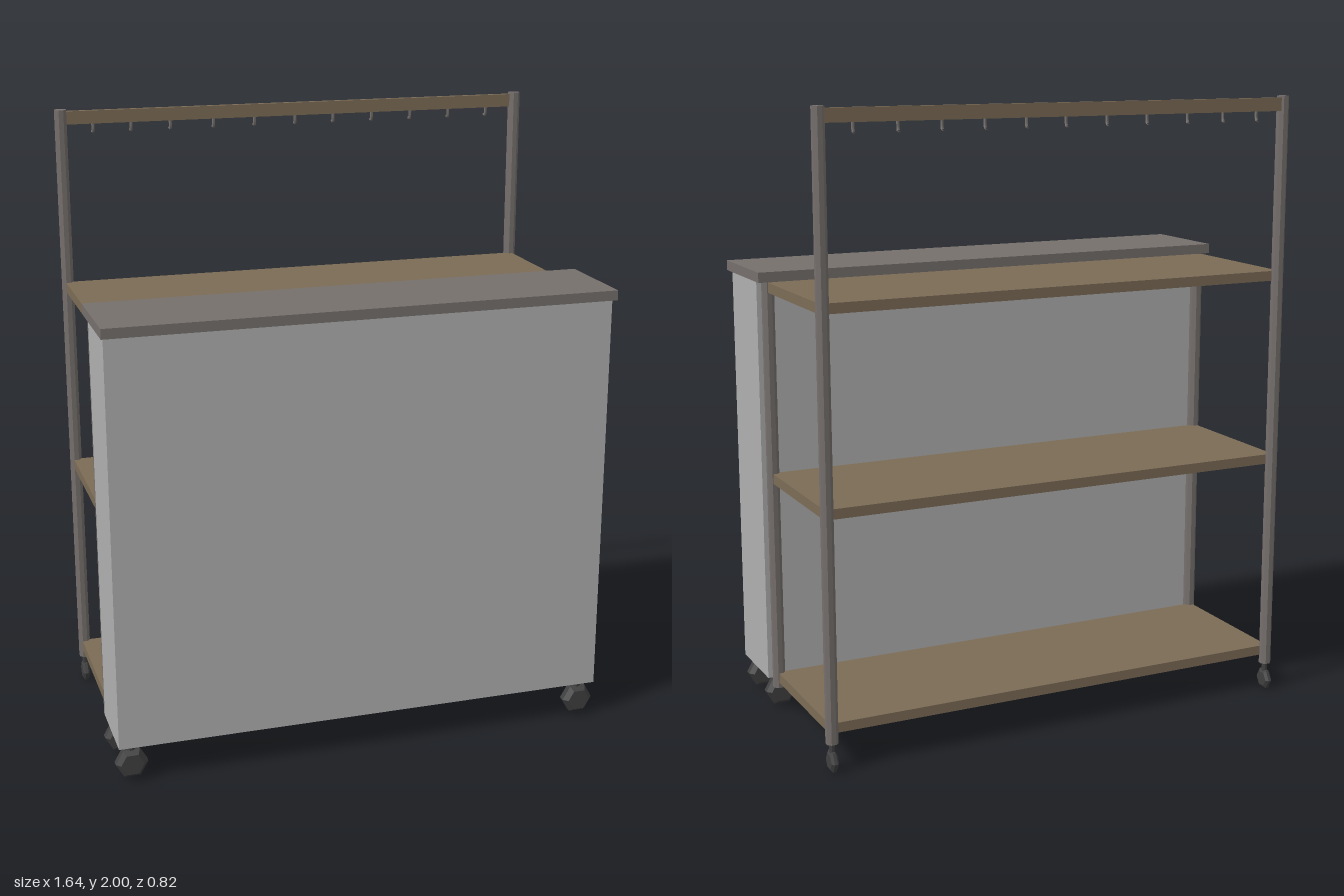
import * as THREE from 'three';

const mat = (name, color, flat = true) => {
  const m = new THREE.MeshStandardMaterial({ color });
  m.name = name;
  m.flatShading = flat;
  return m;
};

export function createModel() {
  const root = new THREE.Group();
  const panel = mat('light grey panel', 0xb0b0b0);
  const metal = mat('warm grey metal', 0x76706d);
  const wood = mat('brown wood', 0x7c6c56);
  const rubber = mat('dark rubber', 0x404040);

  const add = (name, geo, material, parent = root) => {
    const mesh = new THREE.Mesh(geo, material);
    mesh.name = name;
    parent.add(mesh);
    return mesh;
  };
  // Box given by its lower and upper limits on each axis
  const box = (name, material, [x0, x1], [y0, y1], [z0, z1]) => {
    const m = add(name, new THREE.BoxGeometry(x1 - x0, y1 - y0, z1 - z0), material);
    m.position.set((x0 + x1) / 2, (y0 + y1) / 2, (z0 + z1) / 2);
  };
  // Upright octagonal tube
  const post = (name, material, r, x, z, y0, y1) => {
    const m = add(name, new THREE.CylinderGeometry(r, r, y1 - y0, 8), material);
    m.rotation.y = Math.PI / 8;
    m.position.set(x, (y0 + y1) / 2, z);
  };

  // Front cabinet and its counter
  box('cabinet', panel, [-0.814, 0.804], [0.118, 1.44], [0.157, 0.405]);
  box('counter', metal, [-0.82, 0.82], [1.44, 1.472], [0.085, 0.41]);

  // Shelves between the posts
  for (const y of [0.118, 0.79, 1.405]) {
    box('shelf', wood, [-0.798, 0.785], [y, y + 0.032], [-0.37, 0.115]);
  }

  // Posts: short in front, tall at the back
  for (const x of [-0.79, 0.78]) {
    post('frontPost', metal, 0.02, x, 0.118, 0.1, 1.44);
    post('backPost', metal, 0.02, x, -0.375, 0.09, 2);
  }

  // Hanging rail with small hooks
  box('rail', wood, [-0.79, 0.78], [1.952, 1.994], [-0.388, -0.37]);
  const hookPath = new THREE.CatmullRomCurve3([
    [0, 1.956, -0.382], [0, 1.93, -0.383], [0, 1.922, -0.387], [0, 1.927, -0.393],
  ].map(p => new THREE.Vector3(...p)));
  const hookGeo = new THREE.TubeGeometry(hookPath, 8, 0.005, 6);
  for (const x of [-0.685, -0.56, -0.43, -0.285, -0.145, -0.005, 0.128, 0.264, 0.402, 0.54, 0.678]) {
    add('hook', hookGeo, metal).position.x = x;
  }

  // Six-sided wheel with chamfered rims, axis along y
  const wheelGeo = (r, w) => new THREE.LatheGeometry([
    [0, -w / 2], [r * 0.72, -w / 2], [r, -w / 5], [r, w / 5], [r * 0.72, w / 2], [0, w / 2],
  ].map(p => new THREE.Vector2(...p)), 6);

  // Large cabinet casters, rolling sideways
  const bigWheel = wheelGeo(0.052, 0.054);
  for (const x of [-0.772, 0.752]) {
    for (const z of [0.38, 0.193]) {
      const wheel = add('cabinetWheel', bigWheel, rubber);
      wheel.rotation.set(Math.PI / 2, Math.PI / 2, 0, 'ZXY');
      wheel.position.set(x, 0.06, z);
      post('cabinetCasterStem', rubber, 0.014, x, z, 0.07, 0.12);
    }
  }

  // Small casters under the back posts, rolling front to back
  const smallWheel = wheelGeo(0.036, 0.024);
  for (const x of [-0.79, 0.78]) {
    const wheel = add('backWheel', smallWheel, rubber);
    wheel.rotation.z = Math.PI / 2;
    wheel.position.set(x, 0.033, -0.375);
    post('backCasterStem', rubber, 0.009, x, -0.375, 0.04, 0.1);
  }
  return root;
}
